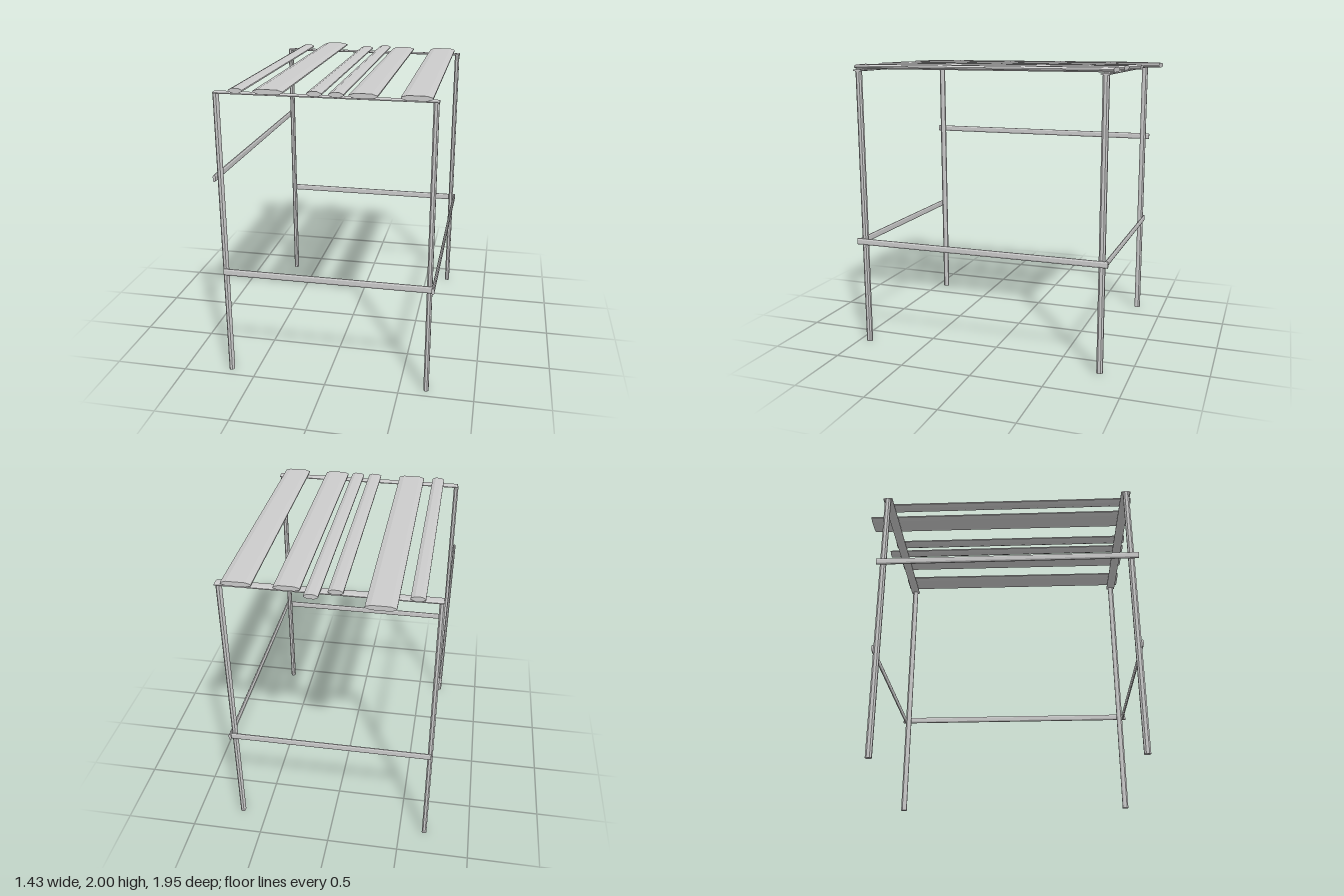
import * as THREE from 'three';

const material = new THREE.MeshStandardMaterial({ color: 0xcccccc, flatShading: true });

// Straight bar along z with a chamfered rectangular section (w in x, h in y)
function barGeometry(w, h, length, cx, cy) {
  const a = w / 2, b = h / 2;
  const shape = new THREE.Shape([
    [a, -b + cy], [a, b - cy], [a - cx, b], [-a + cx, b],
    [-a, b - cy], [-a, -b + cy], [-a + cx, -b], [a - cx, -b],
  ].map(([x, y]) => new THREE.Vector2(x, y)));
  const g = new THREE.ExtrudeGeometry(shape, { depth: length, bevelEnabled: false });
  return g.translate(0, 0, -length / 2);
}

export function createModel() {
  const model = new THREE.Group();
  const add = (name, geometry, x, y, z) => {
    const mesh = new THREE.Mesh(geometry, material);
    mesh.name = name;
    mesh.position.set(x, y, z);
    model.add(mesh);
  };
  const frontZ = 0.925, backZ = -0.8, legX = 0.68;

  // Four upright legs
  for (const [side, x] of [['left', legX], ['right', -legX]]) {
    for (const [end, z] of [['Front', frontZ], ['Back', backZ]]) {
      const g = barGeometry(0.034, 0.042, 1.956, 0.009, 0.011).rotateX(-Math.PI / 2);
      add(`${side}${end}Leg`, g, x, 0.978, z);
    }
  }

  // Thin crossbars lying on the legs, below the slats
  for (const [name, z] of [['frontCrossbar', frontZ], ['backCrossbar', backZ]]) {
    const g = barGeometry(0.066, 0.014, 1.39, 0.018, 0.004).rotateY(Math.PI / 2);
    add(name, g, 0.005, 1.961, z);
  }

  // Front and back rails fixed to the outside of the legs
  for (const [name, z] of [['frontRail', 0.952], ['backRail', -0.828]]) {
    const g = barGeometry(0.014, 0.046, 1.395, 0.004, 0.01).rotateY(Math.PI / 2);
    g.rotateX(Math.PI / 2).rotateX(Math.PI / 2);
    add(name, g, 0.01, 0.755, z);
  }

  // Side rails: low on the left, high on the right
  for (const [name, x, y] of [['leftRail', 0.705, 0.755], ['rightRail', -0.705, 1.415]]) {
    add(name, barGeometry(0.018, 0.044, 1.82, 0.005, 0.01), x, y, 0.065);
  }

  // Uneven top slats: x range at the front, x range at the back, back end z
  const slats = [
    [-0.582, -0.494, -0.585, -0.494, -0.84],
    [-0.427, -0.238, -0.43, -0.243, -0.975],
    [-0.093, 0.001, -0.097, -0.004, -0.84],
    [0.042, 0.134, 0.041, 0.13, -0.912],
    [0.165, 0.338, 0.165, 0.33, -0.84],
    [0.475, 0.664, 0.465, 0.656, -0.84],
  ];
  slats.forEach(([f0, f1, b0, b1, zBack], i) => {
    const length = 0.972 - zBack;
    const chamfer = Math.min(0.035, (f1 - f0) * 0.28);
    const g = barGeometry(1, 0.031, length, chamfer / (f1 - f0), 0.011);
    // Map the unit width onto the slightly different front and back widths
    const p = g.attributes.position;
    for (let k = 0; k < p.count; k++) {
      const t = p.getZ(k) / length + 0.5, u = p.getX(k) + 0.5;
      const lo = THREE.MathUtils.lerp(b0, f0, t), hi = THREE.MathUtils.lerp(b1, f1, t);
      p.setX(k, THREE.MathUtils.lerp(lo, hi, u));
    }
    g.computeVertexNormals();
    add(`slat${i + 1}`, g, 0, 1.9835, (0.972 + zBack) / 2);
  });

  return model;
}
